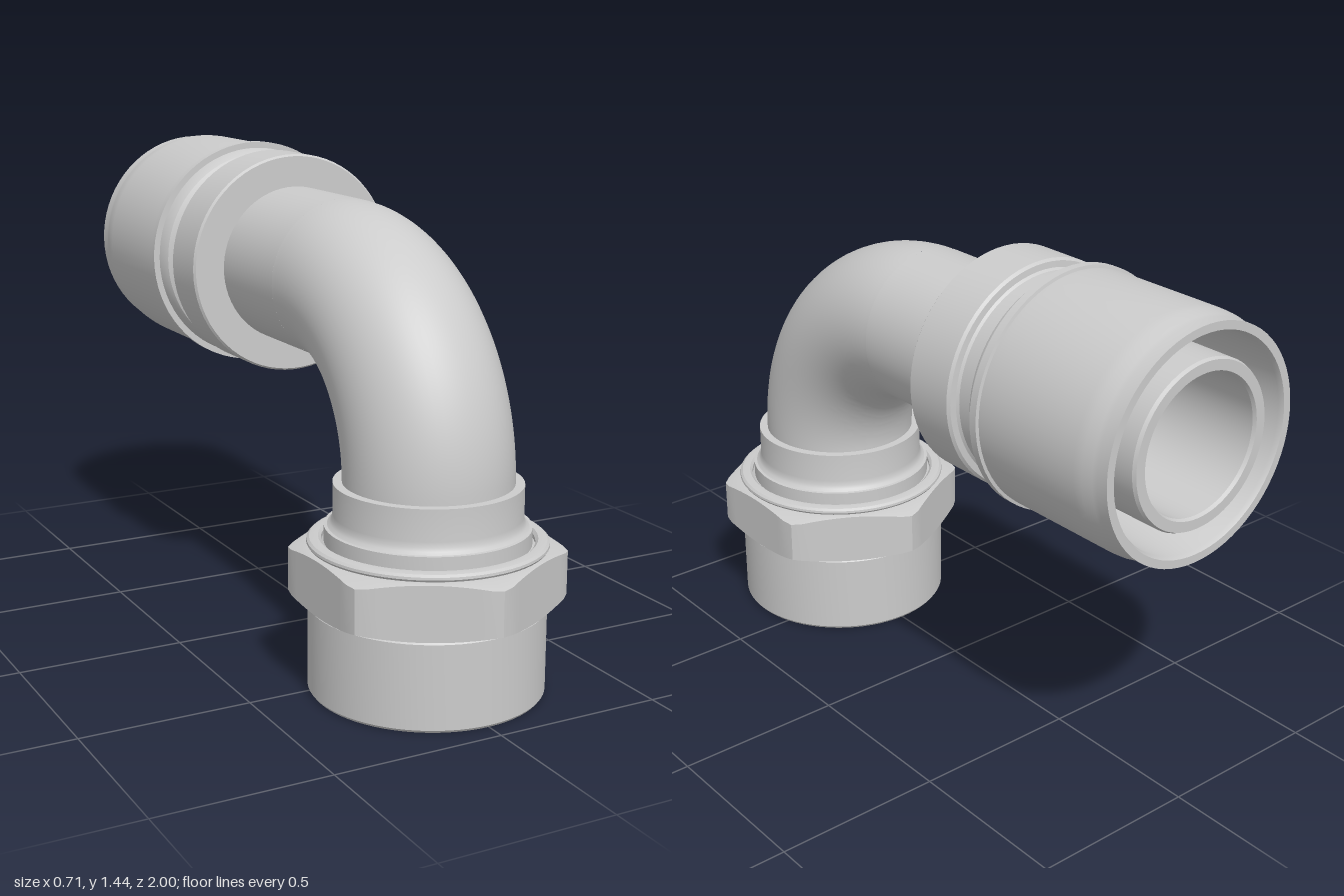
import * as THREE from 'three';
import { toCreasedNormals } from 'three/addons/utils/BufferGeometryUtils.js';

const AXIS_Y = 1.09, AXIS_Z = 0.61;   // centre lines of the outlet and of the inlet
const BEND = 0.49, PIPE = 0.24, BORE = 0.2;
const NUT_FLAT = 0.345, NUT_RIM = 0.34;

const grey = new THREE.MeshStandardMaterial({ color: 0xcccccc });
const greyOpen = new THREE.MeshStandardMaterial({ color: 0xcccccc, side: THREE.DoubleSide });

// closed ring profile [radius, height], outer wall upwards then inner wall downwards
function ring(points) {
  const profile = [...points, points[0]].map(([r, h]) => new THREE.Vector2(r, h));
  return new THREE.LatheGeometry(profile, 72);
}

function part(parent, name, geometry, material = grey) {
  const mesh = new THREE.Mesh(toCreasedNormals(geometry, 0.45), material);
  mesh.name = name;
  parent.add(mesh);
  return mesh;
}

// hexagon with chamfered ends: push the widest profile points onto the six flats
function hexNut(y0, y1) {
  const geometry = ring([[0.3, y0], [NUT_RIM, y0], [0.4, y0], [0.4, y1], [NUT_RIM, y1], [0.3, y1]]);
  const pos = geometry.attributes.position;
  for (let i = 0; i < pos.count; i++) {
    const x = pos.getX(i), z = pos.getZ(i), y = pos.getY(i), r = Math.hypot(x, z);
    if (r < 0.39) continue;
    const step = Math.PI / 3, a = Math.atan2(z, x);
    const off = a - Math.round(a / step) * step;
    const h = Math.min(NUT_FLAT / Math.cos(off), 0.39);
    const drop = (h - NUT_RIM) * 0.35;
    pos.setXYZ(i, x / r * h, y < (y0 + y1) / 2 ? y + drop : y - drop, z / r * h);
  }
  return geometry;
}

export function createModel() {
  const model = new THREE.Group();
  model.name = 'elbowFitting';

  // vertical inlet: threaded skirt, hex nut, collar and pipe tail
  const inlet = new THREE.Group();
  inlet.name = 'inlet';
  inlet.position.z = AXIS_Z;
  model.add(inlet);
  part(inlet, 'nutSkirt', ring([
    [0.295, 0], [0.33, 0], [0.336, 0.008], [0.336, 0.25], [0.325, 0.262], [0.325, 0.28],
    [0.22, 0.28], [0.2, 0.27], [0.288, 0.25], [0.288, 0.01],
  ]));
  part(inlet, 'hexNut', hexNut(0.258, 0.42));
  part(inlet, 'nutCollar', ring([
    [0.298, 0.40], [0.325, 0.40], [0.325, 0.421], [0.335, 0.424], [0.339, 0.43], [0.338, 0.437],
    [0.331, 0.443], [0.32, 0.445], [0.306, 0.445], [0.298, 0.437],
  ]));
  part(inlet, 'pipeTail', ring([
    [BORE, 0.26], [0.305, 0.3], [0.305, 0.42], [0.29, 0.43], [0.29, 0.477], [0.281, 0.478],
    [0.273, 0.485], [0.268, 0.495], [0.266, 0.51], [0.266, 0.6], [BORE, 0.6],
  ]));

  // quarter bend, outer wall and bore
  for (const [name, radius, material] of [['bendWall', PIPE, grey], ['bendBore', BORE, greyOpen]]) {
    const geometry = new THREE.TorusGeometry(BEND, radius, 64, 48, Math.PI / 2);
    const bend = part(model, name, geometry.rotateY(-Math.PI / 2), material);
    bend.position.set(0, AXIS_Y - BEND, AXIS_Z - BEND);
  }

  // horizontal outlet: profile heights run towards the back
  const outlet = new THREE.Group();
  outlet.name = 'outlet';
  outlet.position.y = AXIS_Y;
  outlet.rotation.x = -Math.PI / 2;
  model.add(outlet);
  part(outlet, 'straightPipe', ring([
    [BORE, BEND - AXIS_Z], [PIPE, BEND - AXIS_Z], [PIPE, 0.99], [0.235, 1], [0.205, 1], [BORE, 0.99],
  ]));
  part(outlet, 'pressCollar', ring([
    [0.23, 0.215], [0.333, 0.215], [0.339, 0.222], [0.339, 0.38], [0.332, 0.388],
    [0.314, 0.39], [0.308, 0.397], [0.308, 0.455], [0.23, 0.455],
  ]));
  part(outlet, 'pressSleeve', ring([
    [0.23, 0.45], [0.308, 0.45], [0.323, 0.458], [0.33, 0.47], [0.336, 0.497],
    [0.355, 0.497], [0.355, 0.522], [0.346, 0.524], [0.347, 0.54],
    [0.347, 0.89], [0.345, 0.92], [0.338, 0.95], [0.336, 0.965], [0.336, 1],
    [0.312, 1], [0.306, 0.985], [0.306, 0.53], [0.23, 0.53],
  ]));
  return model;
}
